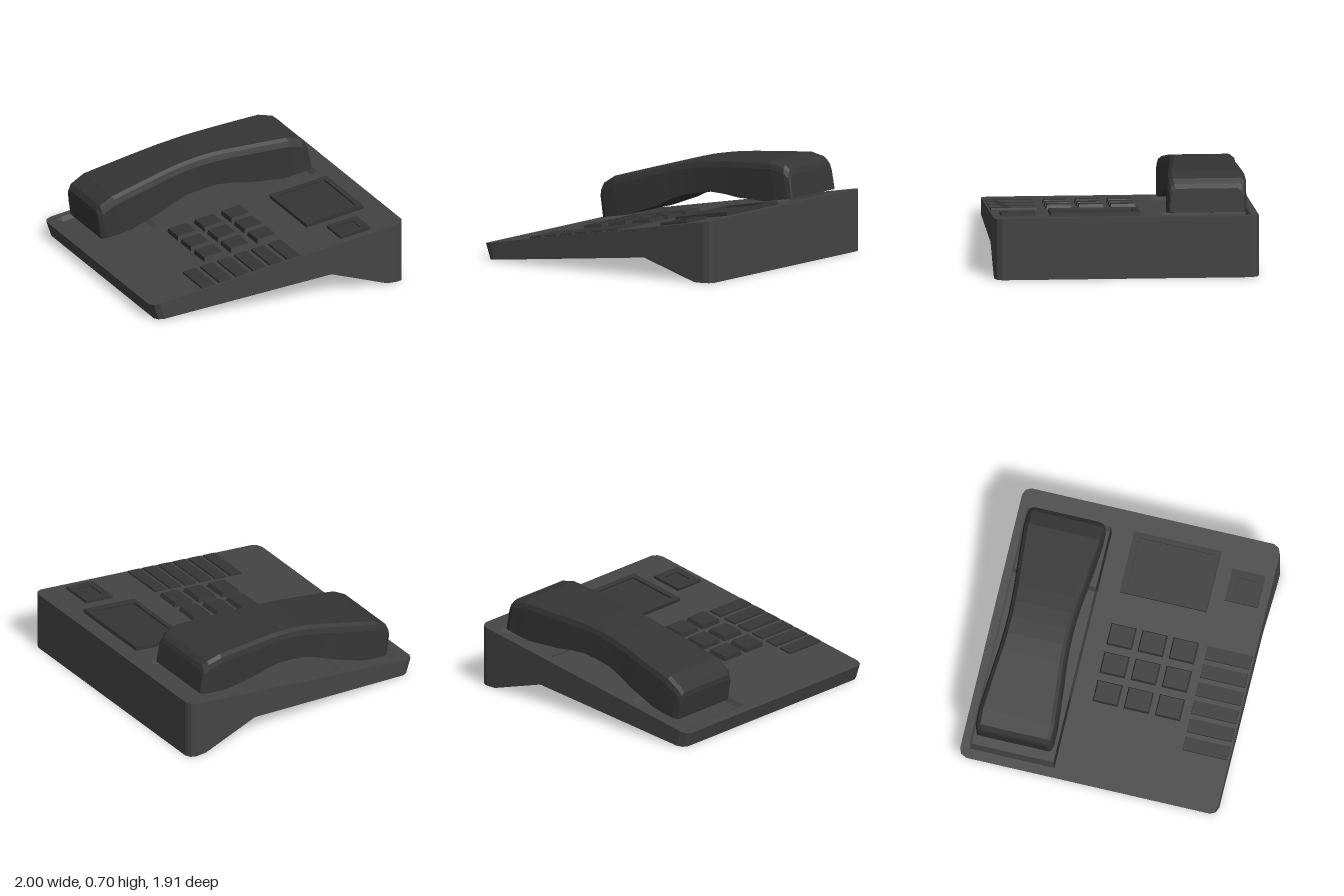
import * as THREE from 'three';

const bodyMat = new THREE.MeshStandardMaterial({ color: 0x444444, flatShading: true });
const darkMat = new THREE.MeshStandardMaterial({ color: 0x353535, flatShading: true });

const SLOPE = 0.17;
const topY = x => 0.285 + SLOPE * x;
const COS = Math.cos(Math.atan(SLOPE));

// Skin a list of { t, ring } sections; place() turns (a, b, t) into x, y, z.
function loft(sections, place) {
  const out = [];
  const push = (s, j) => out.push(...place(s.ring[j][0], s.ring[j][1], s.t));
  const n = sections[0].ring.length;
  for (let i = 0; i + 1 < sections.length; i++) {
    const p = sections[i], q = sections[i + 1];
    for (let j = 0; j < n; j++) {
      const k = (j + 1) % n;
      push(p, j); push(p, k); push(q, k);
      push(p, j); push(q, k); push(q, j);
    }
  }
  const cap = (s, flip) => {
    const pts = s.ring.map(([a, b]) => new THREE.Vector2(a, b));
    for (const [a, b, c] of THREE.ShapeUtils.triangulateShape(pts, [])) {
      (flip ? [a, c, b] : [a, b, c]).forEach(j => push(s, j));
    }
  };
  cap(sections[0], true);
  cap(sections[sections.length - 1], false);
  const geo = new THREE.BufferGeometry();
  geo.setAttribute('position', new THREE.Float32BufferAttribute(out, 3));
  geo.computeVertexNormals();
  return geo;
}

function add(parent, name, geo, mat, x = 0, y = 0, z = 0) {
  const mesh = new THREE.Mesh(geo, mat);
  mesh.name = name;
  mesh.position.set(x, y, z);
  parent.add(mesh);
  return mesh;
}

// Wedge body: profile in x/y, with clipped corners and a shallow handset tray
function baseGeometry() {
  const section = (t, c, dip) => {
    const top = (x, d = 0) => [x, topY(x) - d * dip];
    return {
      t,
      ring: [
        [-0.96 + c, 0.1014 * c], [0.42, 0.14], [0.86, 0], [1 - c, 0],
        top(1 - c), top(0.86), top(0.83, 0.035), top(0.42, 0.035), top(0.38, 0.015),
        top(-0.39, 0.015), top(-0.42, 0.035), top(-0.88, 0.035), top(-0.93), top(-1 + c),
      ],
    };
  };
  return loft([
    section(-0.957, 0.06, 0), section(-0.94, 0.02, 0), section(-0.9, 0, 0),
    section(-0.885, 0, 1), section(-0.28, 0, 1), section(-0.26, 0, 0),
    section(0.9, 0, 0), section(0.94, 0.02, 0), section(0.957, 0.06, 0),
  ], (a, b, t) => [a, b, t]);
}

// Handset: [distance from middle, top, bottom, half width], mirrored end to end
function handsetGeometry() {
  const half = [
    [0, 0.363, 0.124, 0.24], [0.12, 0.361, 0.121, 0.243], [0.24, 0.352, 0.096, 0.25],
    [0.36, 0.34, 0.062, 0.262], [0.61, 0.314, 0.017, 0.283], [0.7, 0.304, 0.017, 0.29],
    [0.805, 0.262, 0.017, 0.287], [0.837, 0.225, 0.017, 0.275], [0.845, 0.19, 0.018, 0.265],
  ];
  const all = [...half.slice(1).reverse().map(([s, ...r]) => [-s, ...r]), ...half];
  return loft(all.map(([t, top, bottom, w]) => ({
    t,
    ring: [
      [bottom, -w], [top - 0.06, -w + 0.003], [top - 0.02, -w + 0.015], [top, -w + 0.04],
      [top, w - 0.04], [top - 0.02, w - 0.015], [top - 0.06, w - 0.003], [bottom, w],
    ],
  })), (a, b, t) => [t, a, b]);
}

// Box whose top face is drawn in by a small bevel
function keyGeometry(w, h, d, inset) {
  const geo = new THREE.BoxGeometry(w, h, d);
  const p = geo.attributes.position;
  for (let i = 0; i < p.count; i++) {
    if (p.getY(i) > 0) {
      p.setX(i, p.getX(i) - Math.sign(p.getX(i)) * inset);
      p.setZ(i, p.getZ(i) - Math.sign(p.getZ(i)) * inset);
    }
  }
  geo.computeVertexNormals();
  return geo;
}

const rect = (P, w, d) => new P([[-w, -d], [w, -d], [w, d], [-w, d]]
  .map(([x, y]) => new THREE.Vector2(x / 2, y / 2)));

// Raised frame around a sunken plate
function framedPanel(parent, name, x, z, w, d, iw, id, h) {
  const group = new THREE.Group();
  group.name = name;
  group.position.set(x / COS, 0, z);
  const shape = rect(THREE.Shape, w / COS, d);
  shape.holes.push(rect(THREE.Path, iw / COS, id));
  const frame = new THREE.ExtrudeGeometry(shape, { depth: h, bevelEnabled: false });
  frame.rotateX(-Math.PI / 2);
  add(group, 'frame', frame, darkMat);
  add(group, 'plate', new THREE.BoxGeometry(iw / COS, h * 0.5, id), darkMat, 0, h * 0.25, 0);
  parent.add(group);
}

export function createModel() {
  const model = new THREE.Group();
  model.name = 'deskPhone';
  add(model, 'base', baseGeometry(), bodyMat);

  // Everything on the sloping top lives in a tilted group
  const deck = new THREE.Group();
  deck.name = 'deck';
  deck.position.y = topY(0);
  deck.rotation.z = Math.atan(SLOPE);
  model.add(deck);

  add(deck, 'handset', handsetGeometry(), darkMat, 0.007, 0, -0.587);

  // Number keys
  const key = keyGeometry(0.163, 0.035, 0.19, 0.01);
  for (let row = 0; row < 3; row++) {
    for (let col = 0; col < 3; col++) {
      add(deck, 'numberKey', key, darkMat,
        (-0.32 + col * 0.211) / COS, 0.0145, -0.013 + row * 0.231);
    }
  }

  // Row of long function keys
  const longKey = keyGeometry(0.105, 0.018, 0.335, 0.003);
  for (let i = 0; i < 6; i++) {
    add(deck, 'functionKey', longKey, darkMat, (-0.547 + i * 0.1345) / COS, 0.005, 0.775);
  }

  framedPanel(deck, 'display', 0.635, 0.22, 0.45, 0.645, 0.375, 0.55, 0.028);
  framedPanel(deck, 'squareButton', 0.64, 0.773, 0.235, 0.245, 0.125, 0.135, 0.02);
  return model;
}
